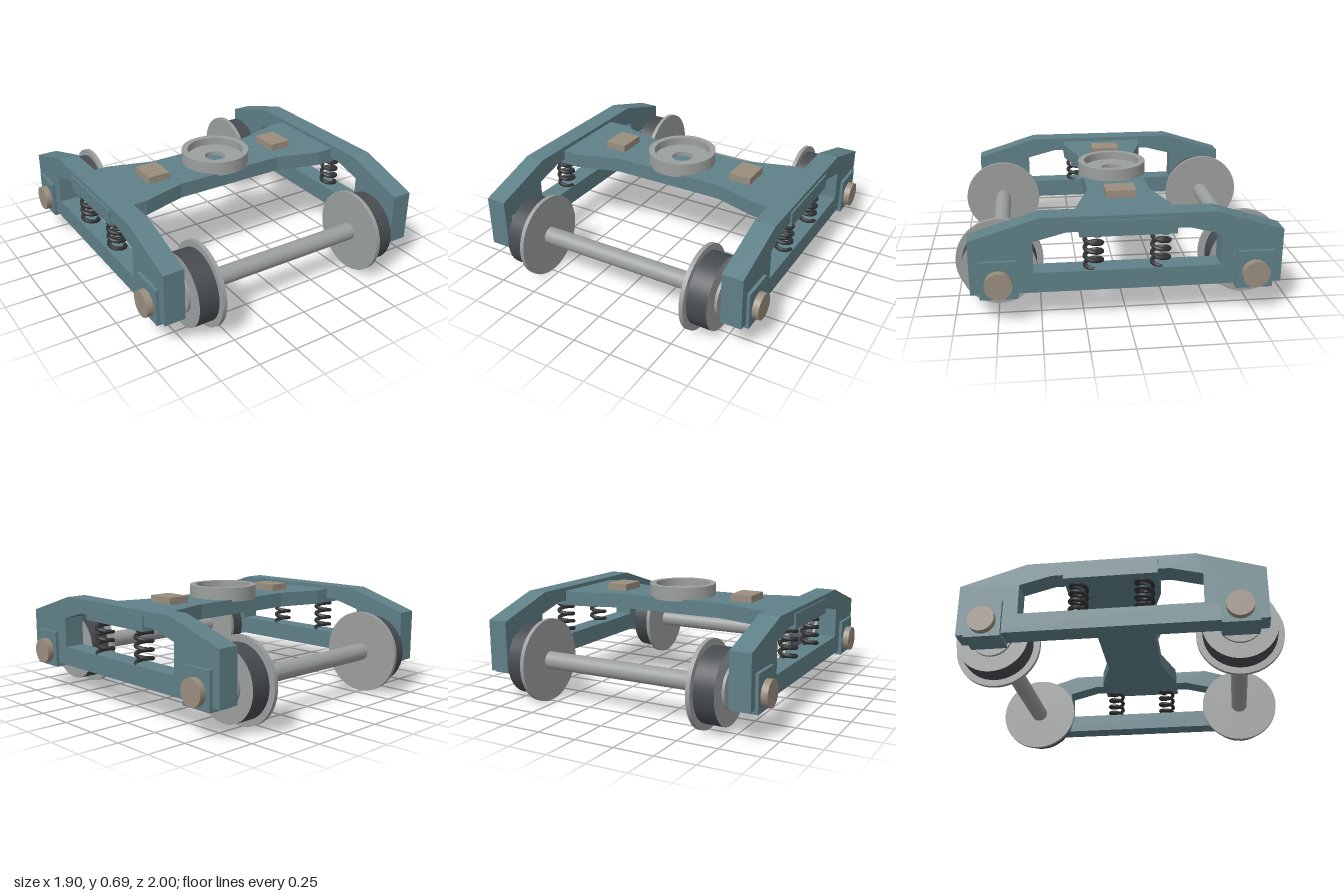
import * as THREE from 'three';

const mat = (name, color) => {
  const m = new THREE.MeshStandardMaterial({ color });
  m.name = name;
  return m;
};

class Helix extends THREE.Curve {
  constructor(radius, height, turns) {
    super();
    Object.assign(this, { radius, height, turns });
  }
  getPoint(t, target = new THREE.Vector3()) {
    const a = t * this.turns * Math.PI * 2;
    return target.set(Math.cos(a) * this.radius, t * this.height, Math.sin(a) * this.radius);
  }
}

const points = (list) => list.map(([x, y]) => new THREE.Vector2(x, y));

// Extrusion centred on its own depth
function slab(shape, depth) {
  const g = new THREE.ExtrudeGeometry(shape, { depth, bevelEnabled: false });
  return g.translate(0, 0, -depth / 2);
}

export function createModel() {
  const frameTeal = mat('frame teal', 0x5f8087);
  const steel = mat('steel grey', 0x9b9f9d);
  const treadDark = mat('tread dark grey', 0x474b4f);
  const brass = mat('dull tan', 0x998d7e);
  const springBlack = mat('spring black', 0x303234);

  const model = new THREE.Group();
  model.name = 'railTruck';

  const add = (parent, name, geometry, material, x = 0, y = 0, z = 0) => {
    const m = new THREE.Mesh(geometry, material);
    m.name = name;
    m.position.set(x, y, z);
    parent.add(m);
    return m;
  };
  // Cylinder lying along x between x0 and x1
  const rod = (parent, name, r, x0, x1, y, z, material, seg = 40) =>
    add(parent, name, new THREE.CylinderGeometry(r, r, Math.abs(x1 - x0), seg).rotateZ(Math.PI / 2),
      material, (x0 + x1) / 2, y, z);

  const axleY = 0.262, axleZ = 0.738;

  // Side frame outline with its window, drawn in the z-y plane
  const frameShape = new THREE.Shape(points([
    [-0.9, 0.19], [0.9, 0.19], [0.9, 0.515], [0.5, 0.64], [-0.5, 0.64], [-0.9, 0.515]]));
  frameShape.holes.push(new THREE.Path(points([
    [-0.54, 0.31], [-0.54, 0.5], [-0.35, 0.55], [0.35, 0.55], [0.54, 0.5], [0.54, 0.31]])));
  const frameGeo = slab(frameShape, 0.13).rotateY(-Math.PI / 2);
  const boxGeo = new THREE.BoxGeometry(0.165, 0.23, 0.216);
  const springGeo = new THREE.TubeGeometry(new Helix(0.049, 0.21, 4), 120, 0.013, 8);

  for (const s of [1, -1]) {
    const side = new THREE.Group();
    side.name = s > 0 ? 'leftSide' : 'rightSide';
    model.add(side);
    add(side, 'sideFrame', frameGeo, frameTeal, s * 0.825);
    for (const e of [1, -1]) {
      add(side, 'axleBox', boxGeo, frameTeal, s * 0.8275, 0.28, e * axleZ);
      rod(side, 'axleCap', 0.08, s * 0.9, s * 0.95, axleY, e * axleZ, brass, 32);
      add(side, 'spring', springGeo, springBlack, s * 0.825, 0.31, e * 0.195);
    }
    add(side, 'sidePad', new THREE.BoxGeometry(0.145, 0.055, 0.185), brass, s * 0.465, 0.6325, 0);
  }

  // Wheelsets
  for (const e of [1, -1]) {
    const set = new THREE.Group();
    set.name = e > 0 ? 'frontWheelset' : 'rearWheelset';
    model.add(set);
    const z = e * axleZ;
    rod(set, 'axle', 0.055, -0.76, 0.76, axleY, z, steel, 32);
    for (const s of [1, -1]) {
      rod(set, 'wheelFlange', 0.262, s * 0.55, s * 0.576, axleY, z, steel, 48);
      rod(set, 'wheelTread', 0.223, s * 0.576, s * 0.703, axleY, z, [treadDark, steel, steel], 48);
      rod(set, 'wheelHub', 0.128, s * 0.7, s * 0.72, axleY, z, steel, 32);
    }
  }

  // Cross beam, waisted in plan
  const beam = new THREE.Shape(points([
    [-0.9, -0.278], [-0.655, -0.278], [-0.37, -0.193], [0.37, -0.193], [0.655, -0.278], [0.9, -0.278],
    [0.9, 0.278], [0.655, 0.278], [0.37, 0.193], [-0.37, 0.193], [-0.655, 0.278], [-0.9, 0.278]]));
  add(model, 'crossBeam', slab(beam, 0.095).rotateX(-Math.PI / 2), frameTeal, 0, 0.5675, 0);

  // Pivot bowl: rim ring and floor ring around the pivot hole
  const ring = (outer, inner, depth) => {
    const shape = new THREE.Shape().absarc(0, 0, outer, 0, Math.PI * 2);
    shape.holes.push(new THREE.Path().absarc(0, 0, inner, 0, Math.PI * 2, true));
    const g = new THREE.ExtrudeGeometry(shape, { depth, bevelEnabled: false, curveSegments: 40 });
    return g.rotateX(-Math.PI / 2);
  };
  const bowl = new THREE.Group();
  bowl.name = 'pivotBowl';
  model.add(bowl);
  add(bowl, 'bowlRim', ring(0.219, 0.18, 0.09), steel, 0, 0.602, 0);
  add(bowl, 'bowlFloor', ring(0.18, 0.066, 0.04), steel, 0, 0.602, 0);

  return model;
}
